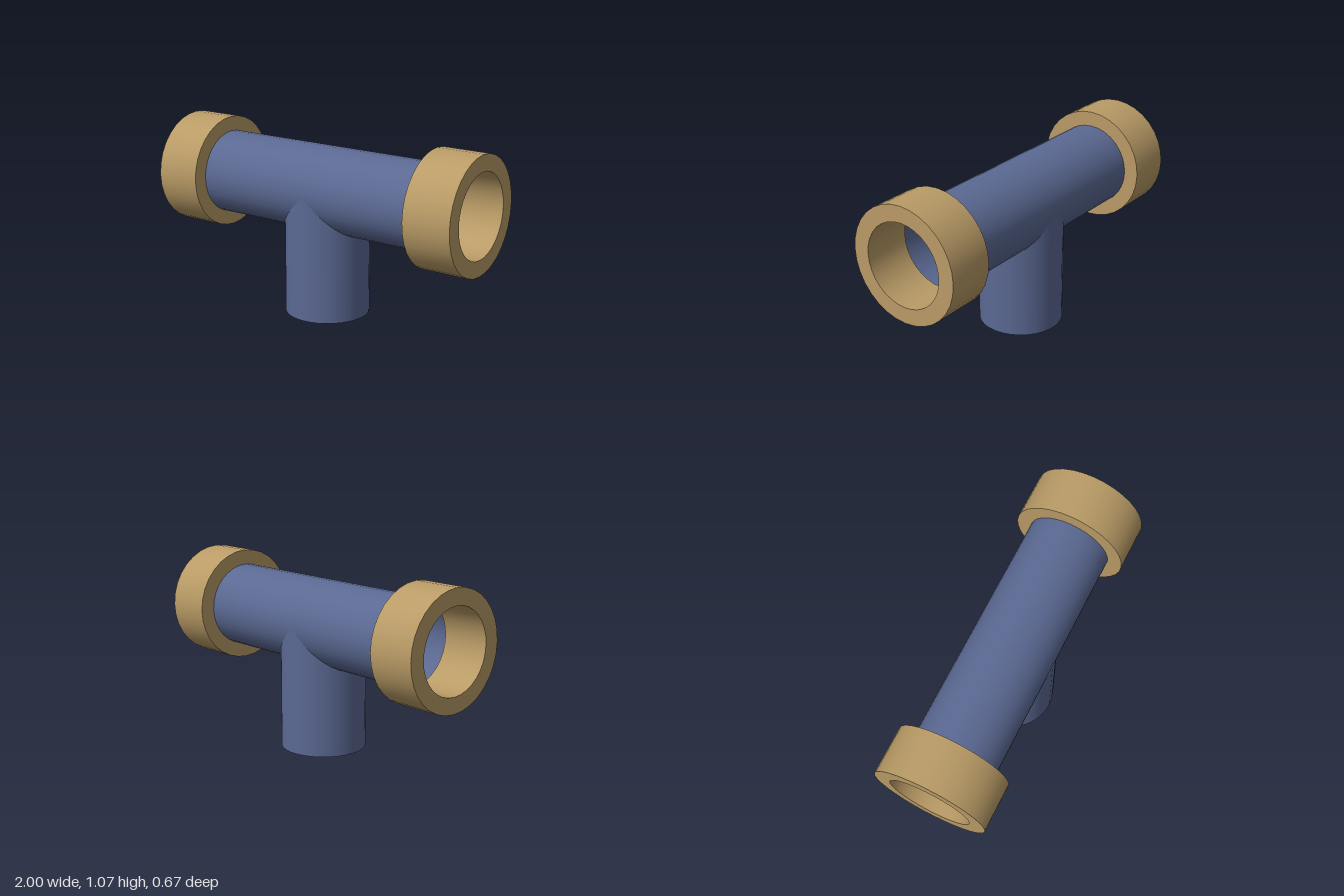
import * as THREE from 'three';
import { toCreasedNormals } from 'three/addons/utils/BufferGeometryUtils.js';

const SIDES = 32;
const AXIS_Y = 0.737;
const PIPE_R = 0.247;

// Open tube hanging from the joint; its inner end is trimmed by the rule start(x)
function armGeometry(length, start) {
  const geo = new THREE.CylinderGeometry(PIPE_R, PIPE_R, 1, SIDES, 1, true);
  const pos = geo.attributes.position;
  for (let i = 0; i < pos.count; i++) {
    pos.setY(i, pos.getY(i) > 0 ? -start(pos.getX(i)) : -length);
  }
  return geo;
}

// Thick ring with a through hole, spanning x0..x1 along x
function collarGeometry(x0, x1, inner, outer) {
  const profile = [[inner, x0], [outer, x0], [outer, x1], [inner, x1], [inner, x0]]
    .map(([r, h]) => new THREE.Vector2(r, h));
  const geo = toCreasedNormals(new THREE.LatheGeometry(profile, SIDES), 0.6);
  return geo.rotateZ(-Math.PI / 2);
}

export function createModel() {
  const model = new THREE.Group();
  model.name = 'teeFitting';

  const blue = new THREE.MeshStandardMaterial({ color: 0x5b6993, side: THREE.DoubleSide });
  blue.name = 'slate blue';
  const tan = new THREE.MeshStandardMaterial({ color: 0xb99b66, side: THREE.DoubleSide });
  tan.name = 'tan';

  const add = (name, geo, material) => {
    const mesh = new THREE.Mesh(geo, material);
    mesh.name = name;
    mesh.position.y = AXIS_Y;
    model.add(mesh);
  };

  // Branch pipe, mitred on both sides of the joint
  add('branchPipe', armGeometry(AXIS_Y, (x) => Math.abs(x)), blue);

  // Two halves of the run pipe, mitred below, and their end collars
  for (const side of [1, -1]) {
    const label = side > 0 ? 'left' : 'right';
    const arm = armGeometry(0.73, (x) => Math.max(0, -side * x));
    add(label + 'Pipe', arm.rotateZ(side * Math.PI / 2), blue);
    const ends = side > 0 ? [0.717, 1] : [-1, -0.717];
    add(label + 'Collar', collarGeometry(ends[0], ends[1], 0.241, 0.335), tan);
  }
  return model;
}
